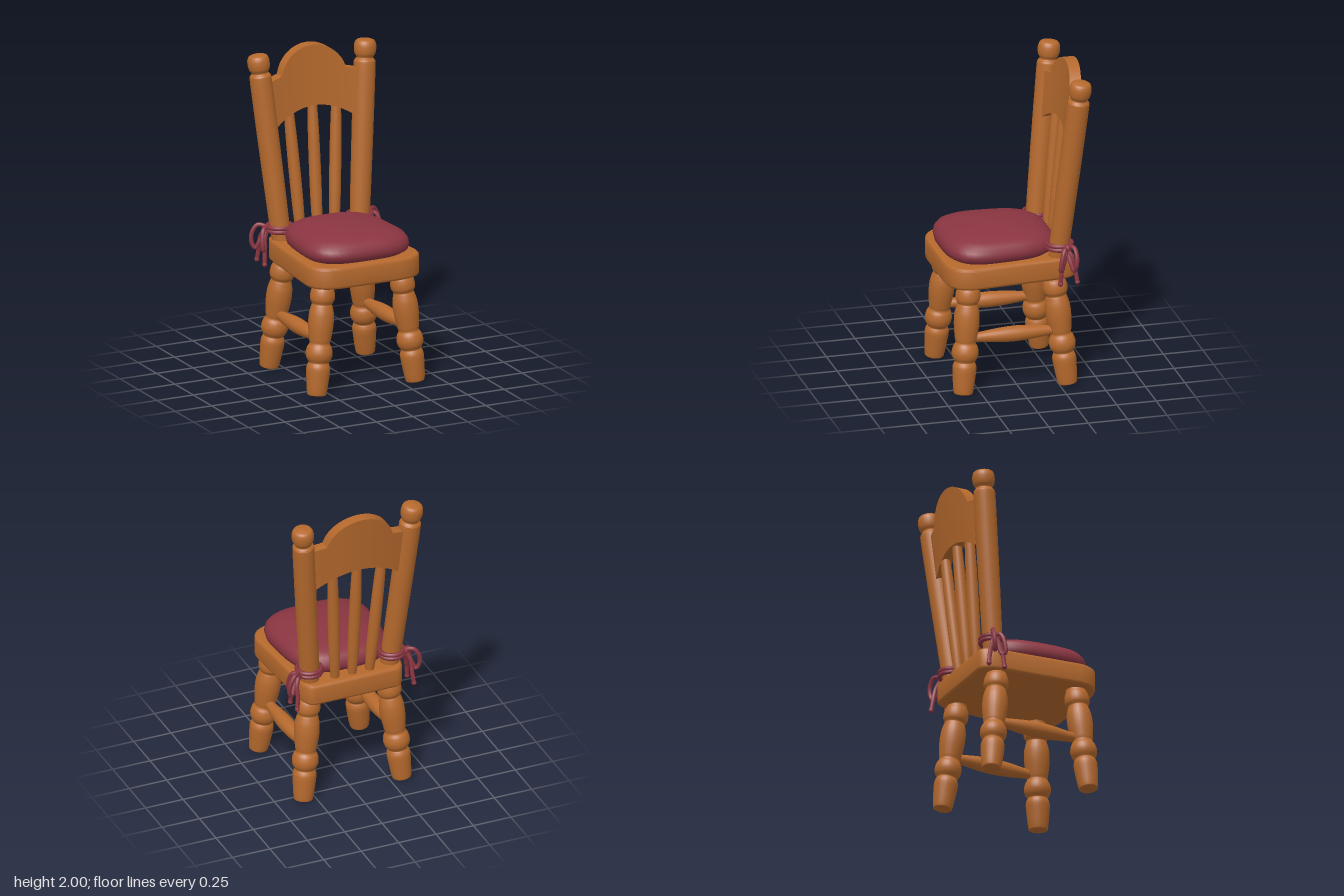
import * as THREE from 'three';
import { toCreasedNormals, mergeVertices } from 'three/addons/utils/BufferGeometryUtils.js';

const V = (x, y, z) => new THREE.Vector3(x, y, z);

export function createModel() {
  const group = new THREE.Group();
  const wood = new THREE.MeshStandardMaterial({ color: 0xb5692d });
  wood.name = 'warm wood';
  const cloth = new THREE.MeshStandardMaterial({ color: 0x8a3541 });
  cloth.name = 'burgundy cloth';

  const add = (name, geometry, material) => {
    const mesh = new THREE.Mesh(geometry, material);
    mesh.name = name;
    group.add(mesh);
    return mesh;
  };

  // Turned part: [radius, fraction] profile smoothed and spun along the axis a -> b
  const turned = (name, a, b, profile, steps = 40) => {
    const axis = b.clone().sub(a);
    const length = axis.length();
    const curve = new THREE.SplineCurve(profile.map(([r, t]) => new THREE.Vector2(r, t * length)));
    const points = curve.getPoints(steps);
    points.forEach(p => { p.x = Math.max(p.x, 0); });
    const mesh = add(name, new THREE.LatheGeometry(points, 24), wood);
    mesh.position.copy(a);
    mesh.quaternion.setFromUnitVectors(V(0, 1, 0), axis.normalize());
  };

  // Seat board: wider at the front, with rounded corners
  const s = new THREE.Shape();
  s.moveTo(-0.19, 0.45);
  s.lineTo(0.19, 0.45);
  s.bezierCurveTo(0.31, 0.445, 0.375, 0.4, 0.38, 0.29);
  s.lineTo(0.342, -0.22);
  s.quadraticCurveTo(0.335, -0.355, 0.27, -0.362);
  s.lineTo(-0.27, -0.362);
  s.quadraticCurveTo(-0.335, -0.355, -0.342, -0.22);
  s.lineTo(-0.38, 0.29);
  s.bezierCurveTo(-0.375, 0.4, -0.31, 0.445, -0.19, 0.45);
  const seat = new THREE.ExtrudeGeometry(s, {
    depth: 0.1, bevelThickness: 0.02, bevelSize: 0.02, bevelOffset: -0.02,
    bevelSegments: 3, curveSegments: 10,
  });
  seat.rotateX(Math.PI / 2).translate(0, 0.81, 0);
  add('seat', toCreasedNormals(seat, 0.6), wood);

  // Cushion: a domed profile spun, then squared off and tapered to the back
  const dome = [[0, 0.83], [0.9, 0.83], [0.98, 0.85], [1, 0.88], [0.985, 0.91], [0.93, 0.937],
    [0.82, 0.959], [0.65, 0.977], [0.4, 0.992], [0.2, 0.998], [0, 1]];
  let pad = new THREE.LatheGeometry(dome.map(([r, y]) => new THREE.Vector2(r, y)), 64);
  const pp = pad.attributes.position;
  for (let i = 0; i < pp.count; i++) {
    const x = pp.getX(i), z = pp.getZ(i), r = Math.hypot(x, z);
    if (r < 1e-5) { pp.setXYZ(i, 0, pp.getY(i), 0.073); continue; }
    const k = (Math.abs(x / r) ** 3.2 + Math.abs(z / r) ** 3.2) ** (-1 / 3.2);
    pp.setX(i, x * k * (0.337 + 0.03 * z * k));
    pp.setZ(i, 0.073 + z * k * 0.352);
  }
  pad.deleteAttribute('uv');
  pad.deleteAttribute('normal');
  pad = mergeVertices(pad);
  pad.computeVertexNormals();
  add('cushion', pad, cloth);

  // Headrest: a block bent into an arched, backward-leaning board
  const rest = new THREE.BoxGeometry(2, 1, 1, 48, 6, 1);
  const rp = rest.attributes.position;
  for (let i = 0; i < rp.count; i++) {
    const u = rp.getX(i), t = rp.getY(i) + 0.5;
    const x = u * (0.28 + 0.03 * t), a = Math.abs(x);
    const arch = a < 0.225 ? 1.79 + 0.21 * Math.sqrt(1 - (a / 0.225) ** 2) : 0;
    const top = Math.max(arch, 1.835 - 0.2 * Math.max(0, a - 0.22));
    const bottom = 1.625 - 0.095 * (x / 0.27) ** 2;
    const y = bottom + (top - bottom) * t;
    const z = -0.413 - 0.107 * (y - 2) * -1 * -1 + 0.36 * x * x;
    rp.setXYZ(i, x, y, z + rp.getZ(i) * 0.072);
  }
  add('headrest', toCreasedNormals(rest, 0.6), wood);

  // Back spindles, fanning out towards the top
  for (const i of [-1, 0, 1]) {
    turned('backSpindle', V(0.115 * i, 0.82, -0.295), V(0.165 * i, 1.65, -0.37),
      [[0.026, 0], [0.034, 0.15], [0.037, 0.4], [0.035, 0.75], [0.029, 1]], 16);
  }

  const legProfile = [[0, 0], [0.05, 0.004], [0.061, 0.03], [0.07, 0.15], [0.074, 0.24],
    [0.066, 0.28], [0.062, 0.295], [0.077, 0.33], [0.083, 0.375], [0.076, 0.425], [0.063, 0.46],
    [0.068, 0.5], [0.078, 0.62], [0.077, 0.72], [0.066, 0.79], [0.062, 0.81],
    [0.074, 0.84], [0.077, 0.88], [0.072, 0.925], [0.062, 0.96], [0.062, 1]];
  const postProfile = [[0.058, 0], [0.063, 0.15], [0.067, 0.5], [0.068, 0.7], [0.068, 0.86],
    [0.064, 0.885], [0.053, 0.896], [0.053, 0.904], [0.064, 0.92], [0.069, 0.945],
    [0.066, 0.972], [0.05, 0.991], [0, 1]];

  for (const m of [-1, 1]) {
    // Legs, splayed outwards
    turned('frontLeg', V(0.338 * m, 0.006, 0.362), V(0.265 * m, 0.71, 0.308), legProfile, 80);
    turned('backLeg', V(0.33 * m, 0.006, -0.302), V(0.262 * m, 0.71, -0.23), legProfile, 80);

    // Side stretcher between front and back leg
    turned('stretcher', V(0.3 * m, 0.355, 0.31), V(0.296 * m, 0.355, -0.25),
      [[0.026, 0], [0.032, 0.12], [0.044, 0.32], [0.049, 0.5], [0.044, 0.68], [0.032, 0.88], [0.026, 1]], 24);

    // Back post with a round knob
    turned('backPost', V(0.265 * m, 0.8, -0.255), V(0.37 * m, 1.995, -0.38), postProfile, 72);

    // Cushion tie: a doubled cord round the post, with a knot, two loops and two tails
    for (const y of [0.888, 0.912]) {
      const ring = new THREE.TorusGeometry(0.075, 0.014, 8, 32);
      ring.rotateX(Math.PI / 2).translate(0.275 * m, y, -0.266);
      add('tieRing', ring, cloth);
    }
    const knot = new THREE.SphereGeometry(0.024, 14, 10);
    knot.translate(0.355 * m, 0.9, -0.295);
    add('tieKnot', knot, cloth);

    const cord = (name, points, closed) => {
      const path = new THREE.CatmullRomCurve3(points.map(([x, y, z]) => V(x * m, y, z)), closed);
      add(name, new THREE.TubeGeometry(path, 36, 0.014, 8, closed), cloth);
      if (closed) return;
      const [x, y, z] = points[points.length - 1];
      add('tieEnd', new THREE.SphereGeometry(0.016, 10, 8).translate(x * m, y, z), cloth);
    };
    cord('tieLoop', [[0.35, 0.9, -0.295], [0.395, 0.918, -0.325], [0.43, 0.87, -0.335],
      [0.435, 0.81, -0.33], [0.415, 0.775, -0.32], [0.392, 0.82, -0.305]], true);
    cord('tieLoop', [[0.35, 0.9, -0.29], [0.385, 0.9, -0.268], [0.403, 0.84, -0.248],
      [0.398, 0.775, -0.242], [0.382, 0.775, -0.255], [0.37, 0.84, -0.275]], true);
    cord('tieTail', [[0.355, 0.9, -0.295], [0.375, 0.84, -0.27], [0.385, 0.76, -0.25], [0.39, 0.685, -0.242]], false);
    cord('tieTail', [[0.355, 0.9, -0.295], [0.38, 0.84, -0.32], [0.382, 0.76, -0.338], [0.39, 0.69, -0.348]], false);
  }
  return group;
}
